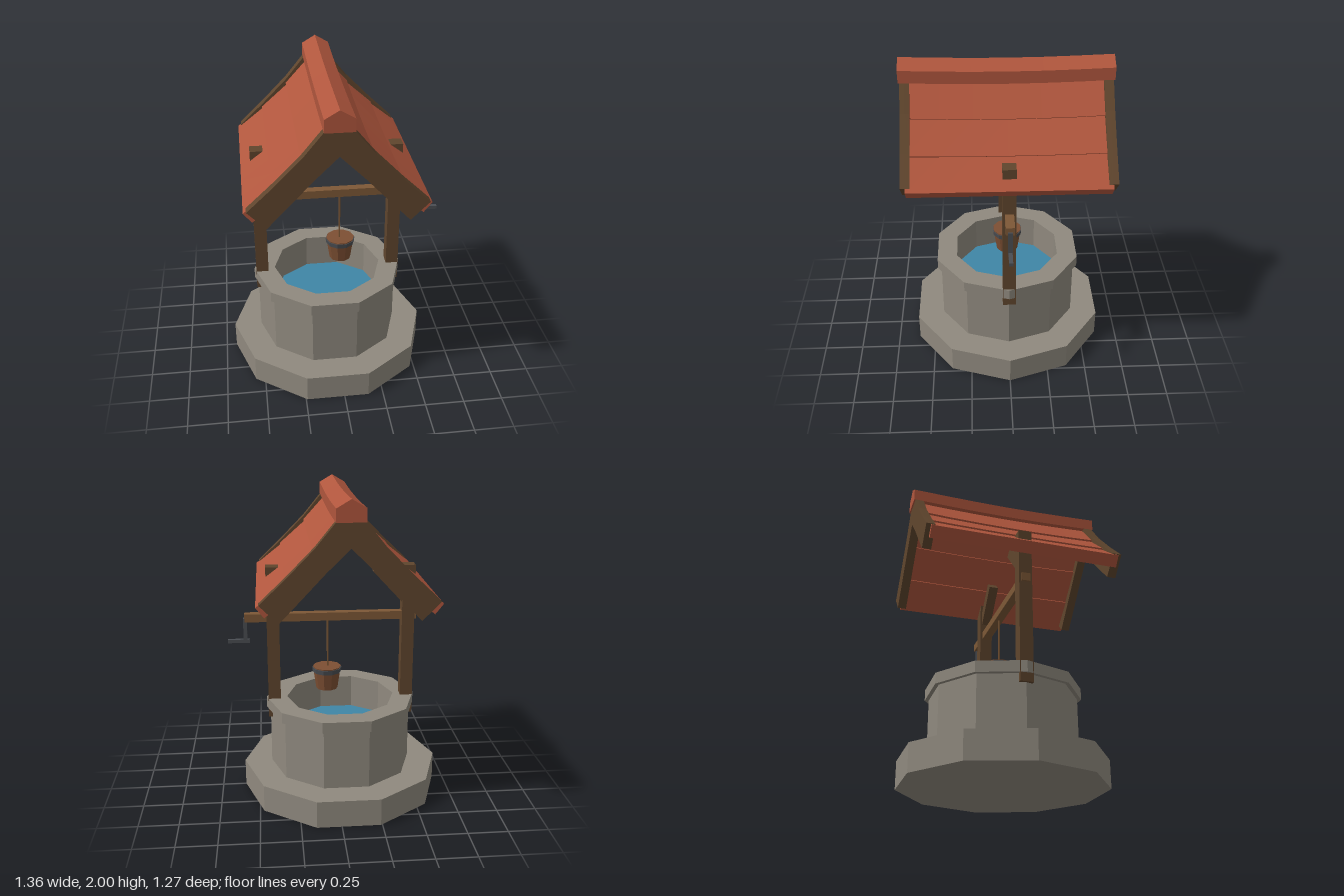
import * as THREE from 'three';

const mat = (name, color) => {
  const m = new THREE.MeshStandardMaterial({ color });
  m.name = name;
  return m;
};

export function createModel() {
  const stone = mat('stone', 0x8f897e);
  const darkWood = mat('dark wood', 0x5f452d);
  const lightWood = mat('light wood', 0x7d5836);
  const bucketWood = mat('bucket wood', 0x7d4f33);
  const tile = mat('red roof tile', 0xb0563d);
  const iron = mat('iron', 0x4a4d52);
  const water = mat('water', 0x3f86a6);

  const model = new THREE.Group();
  model.name = 'well';
  // The well axis sits off centre because the crank sticks out on one side
  const well = new THREE.Group();
  well.name = 'wellAssembly';
  well.position.x = -0.043;
  model.add(well);

  // Adds a mesh with faceted normals
  const add = (name, geometry, material, x = 0, y = 0, z = 0) => {
    const g = geometry.index ? geometry.toNonIndexed() : geometry;
    g.computeVertexNormals();
    const mesh = new THREE.Mesh(g, material);
    mesh.name = name;
    mesh.position.set(x, y, z);
    well.add(mesh);
    return mesh;
  };
  const box = (name, m, w, h, d, x, y, z = 0) =>
    add(name, new THREE.BoxGeometry(w, h, d), m, x, y, z);
  const drum = (name, m, rTop, rBottom, y0, y1, x = 0) =>
    add(name, new THREE.CylinderGeometry(rTop, rBottom, y1 - y0, 10, 1, false, Math.PI / 2), m, x, (y0 + y1) / 2);

  // Extrudes an x-y outline along z, sagging toward the middle of the ridge
  const sagging = (name, m, points, z0, z1) => {
    const shape = new THREE.Shape(points.map(([x, y]) => new THREE.Vector2(x, y)));
    const g = new THREE.ExtrudeGeometry(shape, { depth: z1 - z0, steps: 6, bevelEnabled: false });
    g.translate(0, 0, z0);
    const p = g.attributes.position;
    for (let i = 0; i < p.count; i++) {
      const y = p.getY(i);
      const amount = THREE.MathUtils.clamp((y - 1.38) / 0.3, 0, 1) * 0.014;
      p.setY(i, y - amount * Math.max(0, 1 - (p.getZ(i) / 0.6) ** 2));
    }
    return add(name, g, m);
  };

  // Stone base, hollow wall with overhanging rim, and water
  drum('base', stone, 0.64, 0.64, 0, 0.175);
  const wallProfile = [
    [0.46, 0.17], [0.46, 0.56], [0.485, 0.56], [0.485, 0.63], [0.35, 0.63], [0.35, 0.17],
  ].map(([r, y]) => new THREE.Vector2(r, y));
  add('wallAndRim', new THREE.LatheGeometry(wallProfile, 10, Math.PI / 2), stone);
  drum('water', water, 0.355, 0.355, 0.36, 0.41);

  // Axle and crank
  box('axle', lightWood, 1.1, 0.052, 0.054, 0.063, 1.175);
  box('crankArm', iron, 0.024, 0.155, 0.028, 0.61, 1.093);
  box('crankHandle', iron, 0.139, 0.022, 0.024, 0.653, 1.02);

  // Rope and bucket
  add('rope', new THREE.CylinderGeometry(0.006, 0.006, 0.34, 6), lightWood, 0.083, 0.995);
  drum('bucket', bucketWood, 0.092, 0.07, 0.685, 0.835, 0.088);
  drum('bucketBand', iron, 0.096, 0.092, 0.798, 0.828, 0.088);

  // Roof courses as [top distance, top y, bottom distance, bottom y]
  const courses = [
    [0, 1.93, 0.204, 1.705],
    [0.19, 1.702, 0.367, 1.545],
    [0.353, 1.543, 0.533, 1.4],
  ];
  // Curved gable board: upper edge down, then lower edge back up
  const boardEdge = [
    [0, 1.965], [0.085, 1.873], [0.2, 1.732], [0.365, 1.563], [0.515, 1.42],
    [0.405, 1.31], [0.28, 1.442], [0.14, 1.592], [0, 1.73],
  ];

  for (const s of [-1, 1]) {
    const side = s > 0 ? 'left' : 'right';
    box(side + 'Post', darkWood, 0.08, 1.0, 0.082, s * 0.433, 1.005);

    // Diagonal brace from post up to the roof
    const brace = box(side + 'Brace', darkWood, 0.3, 0.066, 0.06, s * 0.332, 1.376);
    brace.rotation.z = -s * Math.atan2(0.21, 0.195);

    courses.forEach(([d0, y0, d1, y1], i) => {
      const len = Math.hypot(d1 - d0, y1 - y0);
      const t = 0.078;
      const nx = ((y0 - y1) / len) * t;
      const ny = ((d1 - d0) / len) * t;
      const upper = i === 0 ? [0, y0 - t * 1.45] : [d0 - nx, y0 - ny];
      const outline = [[d0, y0], [d1, y1], [d1 - nx, y1 - ny], upper];
      sagging(side + 'RoofCourse' + (i + 1), tile, outline.map(([x, y]) => [s * x, y]), -0.597, 0.597);
    });

    for (const [end, z] of [['Front', 0.57], ['Back', -0.626]]) {
      sagging(side + end + 'GableBoard', darkWood, boardEdge.map(([x, y]) => [s * x, y]), z, z + 0.056);
    }
  }

  // Ridge cap
  sagging('ridgeCap', tile,
    [[-0.085, 1.873], [0.085, 1.873], [0.085, 1.95], [0, 2], [-0.085, 1.95]], -0.635, 0.635);

  return model;
}
